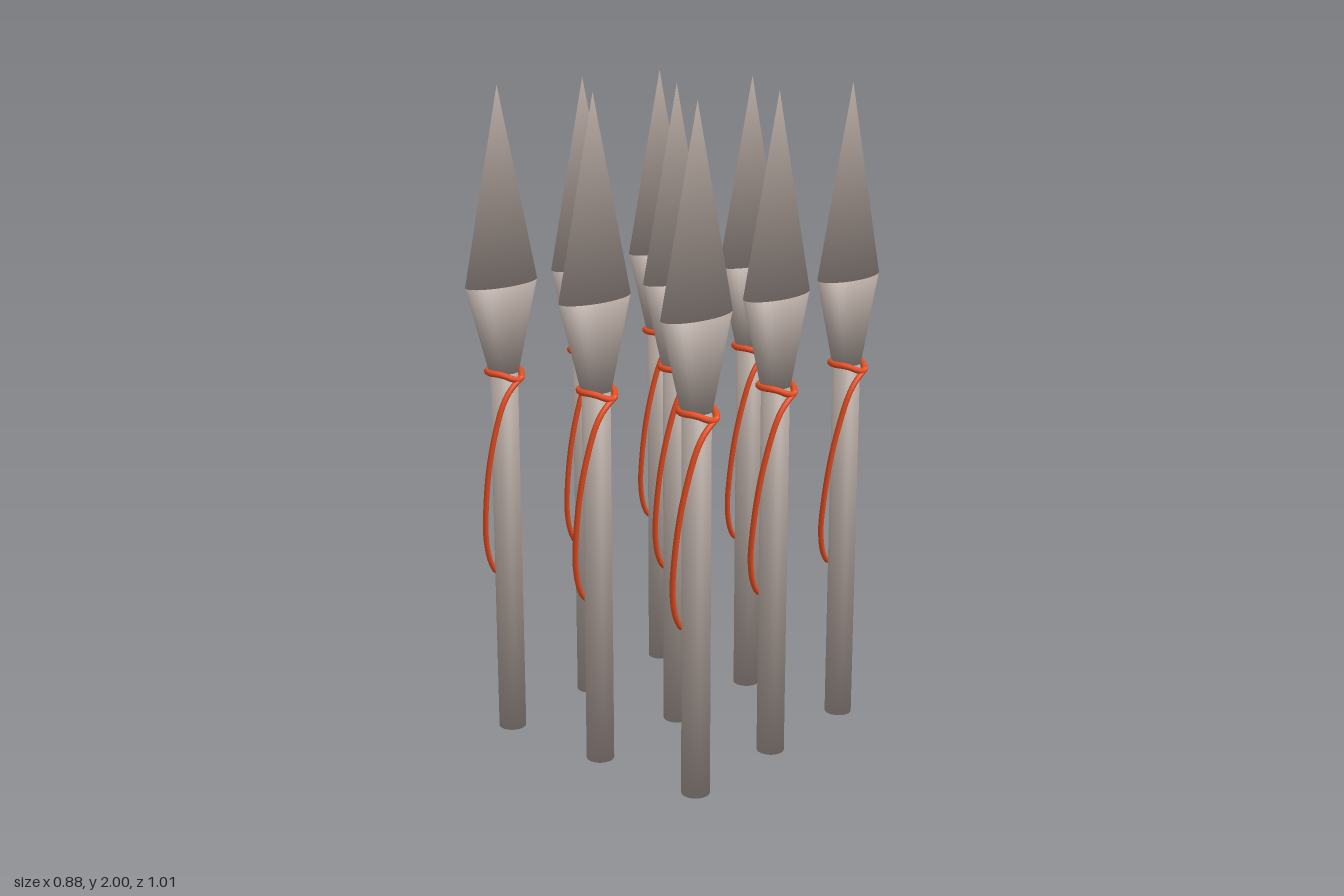
import * as THREE from 'three';

const stone = new THREE.MeshStandardMaterial({ color: 0xb0a39c });
stone.name = 'taupe grey';
const cord = new THREE.MeshStandardMaterial({ color: 0xea4f22 });
cord.name = 'bright orange';

const V = (x, y, z) => new THREE.Vector3(x, y, z);

// Capped elliptical frustum between two rings [rx, rz, y]; normals are blended
// over the rims so that side and caps share one soft shading.
function softSolid(bottom, top) {
  const g = new THREE.CylinderGeometry(1, 1, 1, 32);
  const p = g.attributes.position;
  const n = g.attributes.normal;
  const h = top[2] - bottom[2];
  const mx = (bottom[0] + top[0]) / 2;
  const mz = (bottom[1] + top[1]) / 2;
  for (let i = 0; i < p.count; i++) {
    const ux = p.getX(i), uz = p.getZ(i);
    const isTop = p.getY(i) > 0;
    const [rx, rz, y] = isTop ? top : bottom;
    const cap = isTop ? 1 : -1;
    p.setXYZ(i, ux * rx, y, uz * rz);
    const normal = V(0, cap, 0);
    if (Math.hypot(ux, uz) > 0.5 && rx > 0) {
      const nx = ux / mx, nz = uz / mz;
      const slope = (nx * ux * (bottom[0] - top[0]) + nz * uz * (bottom[1] - top[1])) / h;
      normal.set(nx, slope, nz).normalize();
      normal.y += cap;
      normal.normalize();
    }
    n.setXYZ(i, normal.x, normal.y, normal.z);
  }
  return g;
}

// Cord loop around the neck, drawn out and down to the knot on the +x side
function loopGeometry() {
  const points = [];
  for (let i = 0; i < 16; i++) {
    const a = (i / 16) * Math.PI * 2;
    const sag = Math.max(0, Math.cos(a)) ** 4;
    points.push(V(0.048 * Math.cos(a) + 0.012 * sag, 1.153 - 0.02 * sag, 0.052 * Math.sin(a)));
  }
  return new THREE.TubeGeometry(new THREE.CatmullRomCurve3(points, true), 48, 0.0095, 8, true);
}

// Loose end that sweeps across the front of the shaft and hooks behind it
const tailPath = new THREE.CatmullRomCurve3([
  V(0.06, 1.138, -0.014), V(0.06, 1.126, 0.008), V(0.054, 1.1, 0.035),
  V(0.046, 1.06, 0.056), V(0.028, 0.98, 0.07), V(0.001, 0.86, 0.075),
  V(-0.031, 0.71, 0.062), V(-0.052, 0.61, 0.042), V(-0.062, 0.53, 0.014),
  V(-0.063, 0.494, -0.012), V(-0.061, 0.484, -0.041),
]);

// Tube ends are closed with small spheres
const tailEnds = [tailPath.getPoint(0), tailPath.getPoint(1)];

const shapes = {
  shaft: [softSolid([0.042, 0.042, 0], [0.042, 0.042, 1.155]), stone],
  headBase: [softSolid([0.043, 0.046, 1.15], [0.063, 0.138, 1.42]), stone],
  headPoint: [softSolid([0.063, 0.138, 1.42], [0, 0, 2]), stone],
  cordLoop: [loopGeometry(), cord],
  cordTail: [new THREE.TubeGeometry(tailPath, 48, 0.0085, 8, false), cord],
};
const endGeometry = new THREE.SphereGeometry(0.0085, 8, 6);

function makeSpear() {
  const spear = new THREE.Group();
  spear.name = 'spear';
  for (const [name, [geometry, material]] of Object.entries(shapes)) {
    const mesh = new THREE.Mesh(geometry, material);
    mesh.name = name;
    spear.add(mesh);
  }
  for (const end of tailEnds) {
    const mesh = new THREE.Mesh(endGeometry, cord);
    mesh.name = 'cordEnd';
    mesh.position.copy(end);
    spear.add(mesh);
  }
  return spear;
}

export function createModel() {
  const model = new THREE.Group();
  model.name = 'spearGrid';
  // Three by three grid of upright spears
  const spacing = 0.369;
  for (let row = -1; row <= 1; row++) {
    for (let column = -1; column <= 1; column++) {
      const spear = makeSpear();
      spear.position.set(column * spacing, 0, row * spacing);
      model.add(spear);
    }
  }
  return model;
}
